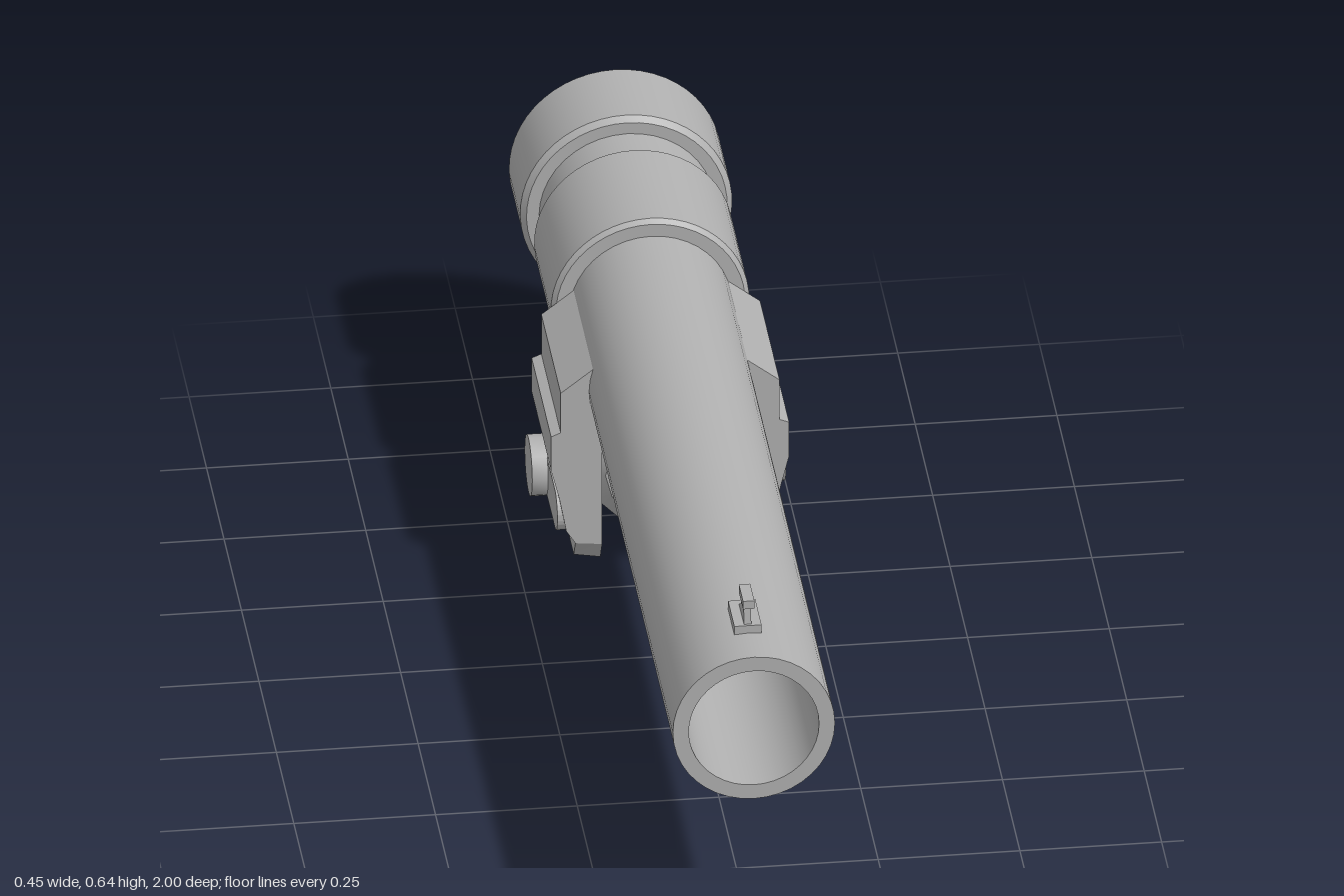
import * as THREE from 'three';
import { toCreasedNormals } from 'three/addons/utils/BufferGeometryUtils.js';

const AXIS_Y = 0.43; // bore axis height
const ROD_Y = 0.12;  // lower plunger axis height
const BORE = 0.115;

export function createModel() {
  const group = new THREE.Group();
  const metal = new THREE.MeshStandardMaterial({ color: 0xb0b0b0 });
  metal.name = 'grey metal';

  function add(name, geo, x = 0, y = 0, z = 0, crease = 0.6) {
    const mesh = new THREE.Mesh(toCreasedNormals(geo, crease), metal);
    mesh.name = name;
    mesh.position.set(x, y, z);
    group.add(mesh);
    return mesh;
  }
  // Turned part along z; outer profile is [radius, z] running towards +z
  const turned = (profile, sides) => new THREE.LatheGeometry(
    profile.map(([r, z]) => new THREE.Vector2(r, z)), sides).rotateX(Math.PI / 2);
  const polygon = (pts) => new THREE.Shape(pts.map(([x, y]) => new THREE.Vector2(x, y)));
  const extrude = (shape, depth, bevel = 0) => new THREE.ExtrudeGeometry(shape, {
    depth: depth - 2 * bevel, bevelEnabled: bevel > 0, bevelSize: bevel,
    bevelThickness: bevel, bevelOffset: -bevel, bevelSegments: 1, curveSegments: 20,
  }).translate(0, 0, bevel);

  // Barrel tube and the narrow neck behind the collar
  add('barrel', turned([[BORE, -0.6], [0.143, -0.6], [0.143, 1], [BORE, 1], [BORE, -0.6]], 40), 0, AXIS_Y);
  add('neck', turned([[BORE, -0.85], [0.155, -0.85], [0.155, -0.72], [BORE, -0.72], [BORE, -0.85]], 40), 0, AXIS_Y);

  // Round rings with a flat-bottomed foot
  function footedRing(r) {
    const a = 0.9;
    const s = new THREE.Shape();
    s.moveTo(-0.1, -0.185);
    s.lineTo(0.1, -0.185);
    s.absarc(0, 0, r, -a, Math.PI + a, false);
    s.closePath();
    s.holes.push(new THREE.Path().absarc(0, 0, BORE + 0.003, 0, Math.PI * 2, true));
    return s;
  }
  add('collar', extrude(footedRing(0.175), 0.255, 0.008), 0, AXIS_Y, -0.735, 0.5);
  add('breechRing', extrude(footedRing(0.187), 0.18, 0.01), 0, AXIS_Y, -1, 0.5);
  // Continuous bore lining through the rings
  add('boreLining', turned([[BORE, -1], [BORE + 0.009, -1], [BORE + 0.009, -0.5], [BORE, -0.5], [BORE, -1]], 40), 0, AXIS_Y);

  // Block joining the collar to the plunger housing
  add('housingBlock', extrude(polygon([[-0.085, 0.12], [0.085, 0.12], [0.092, 0.26], [-0.092, 0.26]]), 0.235), 0, 0, -0.715);

  // Plunger housing, flange, rear stub and front knob
  add('plungerHousing', turned([[0, -0.72], [0.085, -0.72], [0.096, -0.708], [0.096, -0.46], [0, -0.46]], 12), 0, ROD_Y, 0, 0.3);
  add('plungerFlange', turned([[0, -0.49], [0.105, -0.49], [0.118, -0.482], [0.118, -0.465], [0.085, -0.435], [0, -0.425]], 12), 0, ROD_Y, 0, 0.4);
  add('plungerStub', turned([[0, -0.805], [0.08, -0.805], [0.08, -0.7], [0, -0.7]], 8), 0, ROD_Y, 0, 0.3);
  add('knob', turned([[0, -0.44], [0.045, -0.44], [0.045, -0.385], [0.077, -0.36], [0.077, -0.345], [0, -0.345]], 14), 0, ROD_Y, 0, 0.4);
  for (const s of [1, -1]) {
    const half = new THREE.Shape();
    const start = s > 0 ? 0.1 : Math.PI + 0.1;
    half.absarc(0, 0, 0.076, start, start + Math.PI - 0.2, false);
    half.closePath();
    add('knobFace', extrude(half, 0.018, 0.006), 0, ROD_Y, -0.347);
  }

  // Side brackets with clamp bolts
  for (const s of [1, -1]) {
    const profile = [
      [0.12, 0.08], [0.167, 0.088], [0.167, 0.125], [0.183, 0.15], [0.195, 0.215], [0.21, 0.275],
      [0.21, 0.343], [0.193, 0.35], [0.193, 0.43], [0.135, 0.475], [0.125, 0.47],
      [0.125, 0.43], [0.12, 0.38], [0.12, 0.12],
    ].map(([x, y]) => [x * s, y]);
    const geo = extrude(polygon(profile), 0.28).translate(0, 0, -0.48);
    // Narrow the lower end and chamfer its corners
    const p = geo.attributes.position;
    for (let i = 0; i < p.count; i++) {
      const y = p.getY(i);
      const front = p.getZ(i) > -0.3;
      const cut = y < 0.1 ? 0.025 : 0;
      p.setZ(i, front ? -0.2 - cut : (y < 0.26 ? -0.463 : -0.478) + cut);
    }
    geo.computeVertexNormals();
    add(s > 0 ? 'leftBracket' : 'rightBracket', geo, 0, 0, 0, 0.2);

    // Raised rounded rail running to the bolt
    const rail = new THREE.Shape();
    rail.absarc(-0.26, 0.163, 0.038, Math.PI * 1.5, Math.PI * 0.5, false);
    rail.absarc(-0.41, 0.163, 0.038, Math.PI * 0.5, Math.PI * 1.5, false);
    rail.closePath();
    const railGeo = extrude(rail, 0.035).rotateY(-Math.PI / 2); // shape x becomes z
    add('boltRail', railGeo, s > 0 ? 0.196 : -0.161, 0, 0);

    const bolt = (name, r, x0, x1) => add(name,
      new THREE.CylinderGeometry(r, r, x1 - x0, 16).rotateZ(Math.PI / 2),
      s * (x0 + x1) / 2, 0.166, -0.41);
    bolt('boltNeck', 0.036, 0.15, 0.2);
    bolt('boltHead', 0.055, 0.195, 0.224);
  }

  // Front sight: base, sloped blade and small cap
  add('sightBase', new THREE.BoxGeometry(0.048, 0.022, 0.09), 0, 0.577, 0.87);
  const blade = polygon([[0.835, 0.586], [0.91, 0.586], [0.905, 0.632], [0.875, 0.632], [0.865, 0.605]]);
  add('sightBlade', extrude(blade, 0.013).rotateY(-Math.PI / 2), 0.0065);
  add('sightCap', new THREE.BoxGeometry(0.02, 0.016, 0.06), 0, 0.636, 0.896);

  return group;
}
